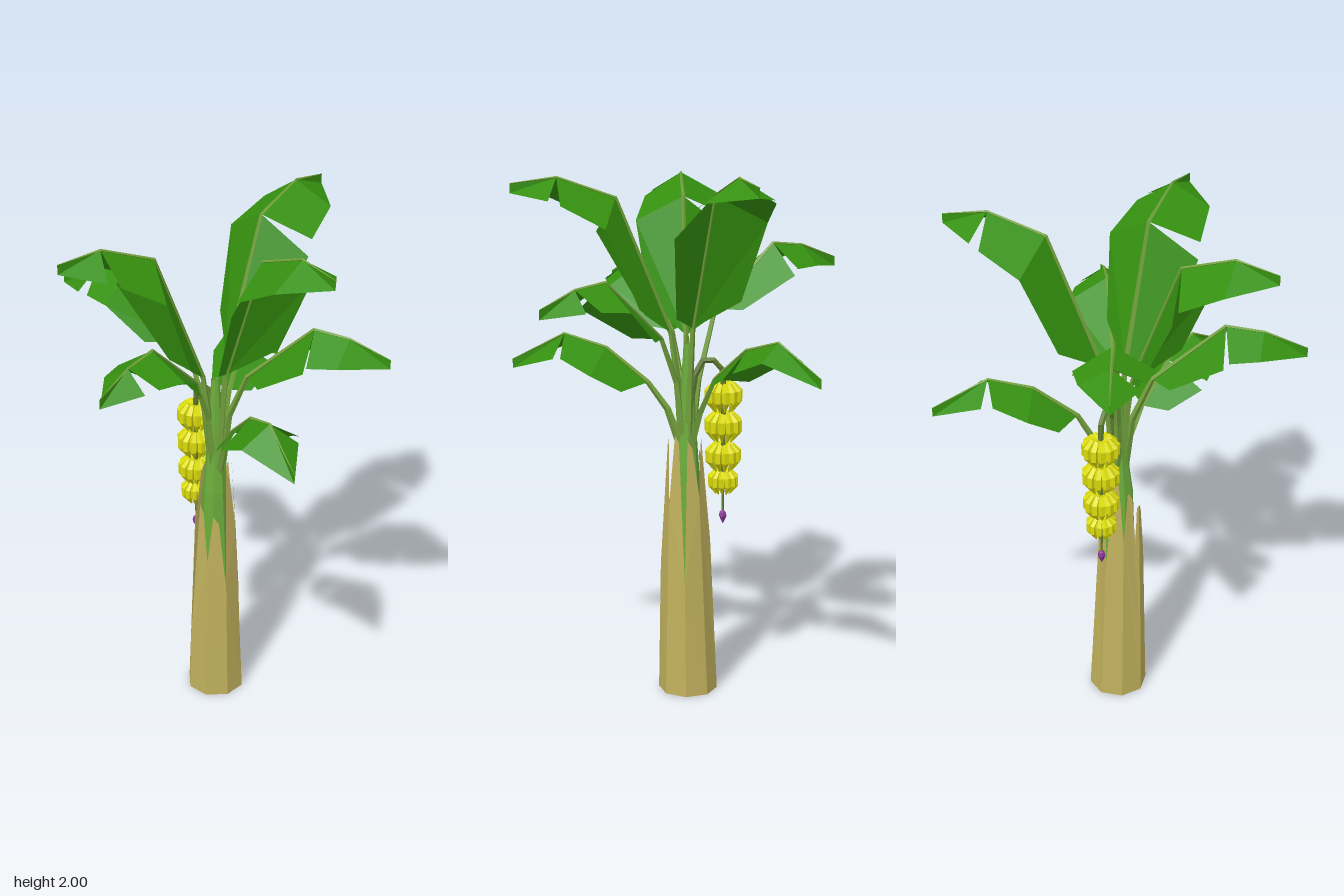
import * as THREE from 'three';

const V = (x, y, z) => new THREE.Vector3(x, y, z);
const mat = (color) => new THREE.MeshStandardMaterial({ color, flatShading: true, side: THREE.DoubleSide });
const LEAF = mat(0x35900f), RIB = mat(0x729f3c), STEM = mat(0x6aab3a);
const BARK = mat(0xc0b05c), FRUIT = mat(0xdcdc0c), STALK = mat(0x5f7a30), BUD = mat(0x8a3596);

function facets(points, material, name) {
  const geo = new THREE.BufferGeometry().setFromPoints(points);
  geo.computeVertexNormals();
  const mesh = new THREE.Mesh(geo, material);
  mesh.name = name;
  return mesh;
}

// Tapered tube along a planar path; side is perpendicular to that plane
function loft(path, radii, sides, side, material, name) {
  const rings = path.map((p, i) => {
    const t = path[Math.min(i + 1, path.length - 1)].clone().sub(path[Math.max(i - 1, 0)]).normalize();
    const v = t.clone().cross(side);
    return Array.from({ length: sides }, (_, j) => {
      const a = (j / sides) * Math.PI * 2;
      return p.clone().addScaledVector(side, radii[i] * Math.cos(a)).addScaledVector(v, radii[i] * Math.sin(a));
    });
  });
  const tris = [];
  for (let i = 0; i < rings.length - 1; i++) {
    for (let j = 0; j < sides; j++) {
      const k = (j + 1) % sides, a = rings[i], b = rings[i + 1];
      tris.push(a[j], a[k], b[j], a[k], b[k], b[j]);
    }
  }
  return facets(tris, material, name);
}

// Midrib stations as [distance from the stem, height]; the blade starts at station 2
const HIGH = [[0.015, 0.95], [0.035, 1.22], [0.06, 1.4], [0.265, 1.9], [0.48, 1.975], [0.65, 1.955]];
const MID = [[0.015, 0.95], [0.05, 1.22], [0.12, 1.39], [0.37, 1.62], [0.5, 1.605], [0.65, 1.55]];
const LOW = [[0.015, 0.95], [0.07, 1.11], [0.14, 1.21], [0.29, 1.34], [0.44, 1.39], [0.63, 1.29]];
const CENTRE = V(-0.015, 0, -0.02);

// One leaf: [profile, tip x, tip z, height offset, half width]
const LEAVES = [
  [HIGH, 0.625, -0.02, 0, 0.18],
  [HIGH, -0.07, 0.6, -0.02, 0.18],
  [HIGH, -0.17, -0.63, 0.025, 0.18],
  [MID, 0.545, -0.36, 0, 0.15],
  [MID, 0.2, 0.625, 0, 0.14],
  [MID, -0.63, 0.24, 0.09, 0.145],
  [LOW, 0.625, 0.13, 0, 0.15],
  [LOW, -0.4, -0.58, 0.035, 0.13],
];

function makeLeaf([profile, tipX, tipZ, lift, width]) {
  const out = V(tipX, 0, tipZ).sub(CENTRE);
  const stretch = out.length() / profile[5][0];
  out.normalize();
  const side = V(-out.z, 0, out.x);
  const mid = profile.map(([r, y], i) =>
    CENTRE.clone().addScaledVector(out, r * stretch).setY(y + (i > 1 ? lift : 0)));
  const tip = mid[5].clone().add(V(0, -0.035, 0));
  const tris = [];
  for (const s of [-1, 1]) {
    // Edge point beside a midrib segment, drooping away from its upper face
    const edge = (seg, f, w) => {
      const t = mid[seg + 1].clone().sub(mid[seg]).normalize();
      const down = V(0, -1, 0).addScaledVector(t, t.y).normalize();
      return mid[seg].clone().lerp(mid[seg + 1], f)
        .addScaledVector(side, s * w * width).addScaledVector(down, w * width * 0.6);
    };
    const quad = (a, b, c, d) => (s > 0 ? tris.push(a, b, c, a, c, d) : tris.push(a, c, b, a, d, c));
    // One half is torn in the middle, the other at the tip
    if (s > 0) {
      const last = edge(3, 1, 0.78);
      quad(mid[2], mid[3], edge(2, 0.8, 0.97), edge(2, 0.15, 0.55));
      quad(mid[3], mid[4], last, edge(3, 0.22, 0.95));
      quad(mid[4], mid[5], tip, last);
    } else {
      const shared = edge(3, 0.08, 1);
      quad(mid[2], mid[3], shared, edge(2, 0.28, 0.75));
      quad(mid[3], mid[4], edge(3, 0.85, 0.78), shared);
      quad(mid[4], mid[5], tip, edge(4, 0.28, 0.65));
    }
  }
  const leaf = new THREE.Group();
  leaf.name = 'leaf';
  leaf.add(facets(tris, LEAF, 'leafBlade'));
  leaf.add(loft(mid, [0.018, 0.013, 0.01, 0.007, 0.005, 0.001], 4, side, RIB, 'leafStem'));
  return leaf;
}

// Trunk: dry bark strips with pointed, split tops around a green core
function makeTrunk() {
  const trunk = new THREE.Group();
  trunk.name = 'trunk';
  const tops = [0.82, 0.86, 0.93, 0.99, 0.96, 1.0, 1.02, 1.0];
  const splits = [0.5, 0.62, 0.25, 0.72, 0.6, 0.78, 0.45, 0.75];
  const at = (step, y) => {
    const a = (step / 8) * Math.PI * 2 + 0.2;
    const r = 0.113 - 0.05 * y + 0.01 * Math.sin(Math.PI * Math.min(y, 1));
    return V(-0.02 + 0.012 * y + r * Math.cos(a), y, -0.02 + 0.01 * y + r * Math.sin(a));
  };
  const tris = [];
  tops.forEach((top, i) => {
    const a = at(i, 0), b = at(i + 1, 0);
    const c = at(i + 1, splits[(i + 1) % 8]), d = at(i, splits[i]);
    const e = at(i + 0.7, top), f = at(i + 0.35, top - 0.03);
    tris.push(a, c, b, a, d, c, d, e, c, d, f, e);
  });
  trunk.add(facets(tris, BARK, 'bark'));
  trunk.add(loft([V(-0.02, 0.01, -0.02), V(-0.012, 0.9, -0.012), V(-0.015, 1.03, -0.015), V(-0.02, 1.36, -0.02)],
    [0.094, 0.05, 0.037, 0.016], 8, V(0, 0, 1), STEM, 'core'));
  return trunk;
}

// Hanging stalk with four rings of fruit and a bud
function makeBunch() {
  const bunch = new THREE.Group();
  bunch.name = 'fruitBunch';
  const x = -0.153, z = -0.025;
  const path = [V(-0.02, 1.1, z), V(-0.045, 1.24, z), V(-0.075, 1.295, z), V(-0.115, 1.295, z),
    V(-0.147, 1.26, z), V(x, 1.2, z), V(x, 0.95, z), V(x, 0.7, z)];
  bunch.add(loft(path, [0.016, 0.013, 0.012, 0.012, 0.012, 0.011, 0.009, 0.004], 6, V(0, 0, 1), STALK, 'fruitStalk'));
  bunch.add(loft([0.715, 0.705, 0.69, 0.66].map((y) => V(x, y, z)), [0.001, 0.012, 0.016, 0.001], 6,
    V(0, 0, 1), BUD, 'flowerBud'));

  // Each fruit leaves the stalk at the top, bows outwards and hangs back in
  const bend = [[0.008, 0.036], [0.036, 0.042], [0.057, 0.018], [0.057, -0.018], [0.034, -0.06]];
  [[1.16, 1], [1.045, 1], [0.928, 0.95], [0.83, 0.82]].forEach(([y, size], h) => {
    const hand = new THREE.Group();
    hand.name = 'fruitHand';
    for (let i = 0; i < 12; i++) {
      const a = ((i + h * 0.5) / 12) * Math.PI * 2, c = Math.cos(a), s = Math.sin(a);
      const pts = bend.map(([r, dy]) => V(x + r * size * c, y + dy * size, z + r * size * s));
      hand.add(loft(pts, [0.004, 0.012, 0.016, 0.015, 0.003].map((r) => r * size), 5, V(-s, 0, c), FRUIT, 'fruit'));
    }
    bunch.add(hand);
  });
  return bunch;
}

export function createModel() {
  const model = new THREE.Group();
  model.name = 'fruitTree';
  model.add(makeTrunk(), makeBunch(), ...LEAVES.map(makeLeaf));
  return model;
}
